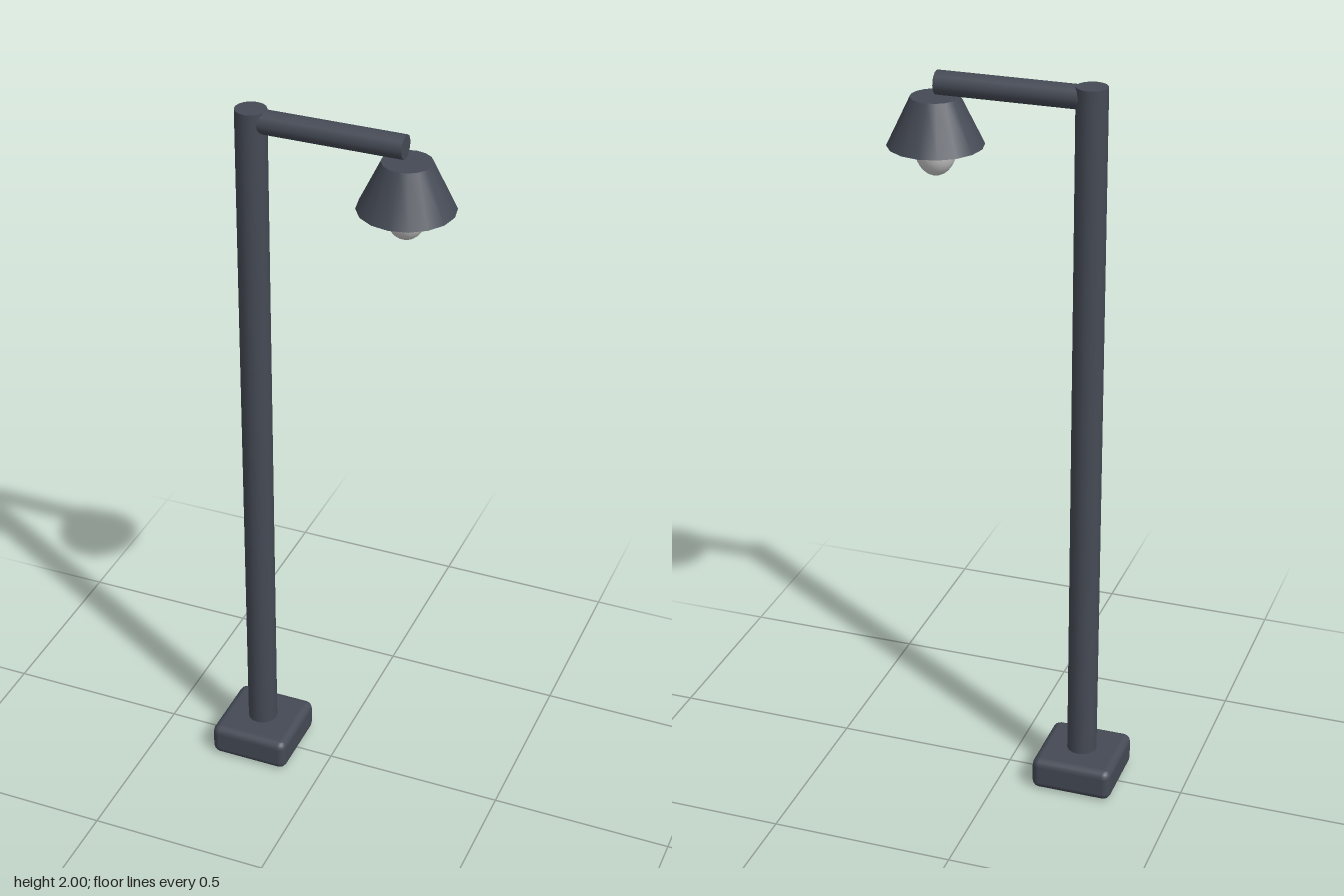
import * as THREE from 'three';
import { RoundedBoxGeometry } from 'three/addons/geometries/RoundedBoxGeometry.js';

export function createModel() {
  const group = new THREE.Group();
  const metal = new THREE.MeshStandardMaterial({ color: 0x454a55 });
  const metalOpen = new THREE.MeshStandardMaterial({ color: 0x454a55, side: THREE.DoubleSide });
  const glass = new THREE.MeshStandardMaterial({ color: 0xffffff });
  const poleX = -0.212, lampX = 0.198;

  const add = (name, geometry, material, x, y) => {
    const mesh = new THREE.Mesh(geometry, material);
    mesh.name = name;
    mesh.position.set(x, y, 0);
    group.add(mesh);
    return mesh;
  };

  // Rounded foot and upright pole
  add('base', new RoundedBoxGeometry(0.226, 0.092, 0.226, 2, 0.022), metal, poleX, 0.046);
  add('pole', new THREE.CylinderGeometry(0.041, 0.041, 1.948, 16), metal, poleX, 1.0245);

  // Horizontal arm, its top just breaking through the pole's end
  const arm = add('arm', new THREE.CylinderGeometry(0.031, 0.031, 0.411, 16), metal, -0.0125, 1.969);
  arm.rotation.z = Math.PI / 2;

  // Conical shade, closed on top and open below
  const shadeProfile = [[0.125, 0], [0.064, 0.126]].map(([r, y]) => new THREE.Vector2(r, y));
  add('shade', new THREE.LatheGeometry(shadeProfile, 16), metalOpen, lampX, 1.806);
  const top = add('shadeTop', new THREE.CircleGeometry(0.064, 16), metalOpen, lampX, 1.932);
  top.rotation.x = -Math.PI / 2;

  // Bulb hanging below the rim
  const bulb = add('bulb', new THREE.SphereGeometry(0.055, 20, 14), glass, lampX, 1.8);
  bulb.scale.y = 1.36;

  return group;
}
